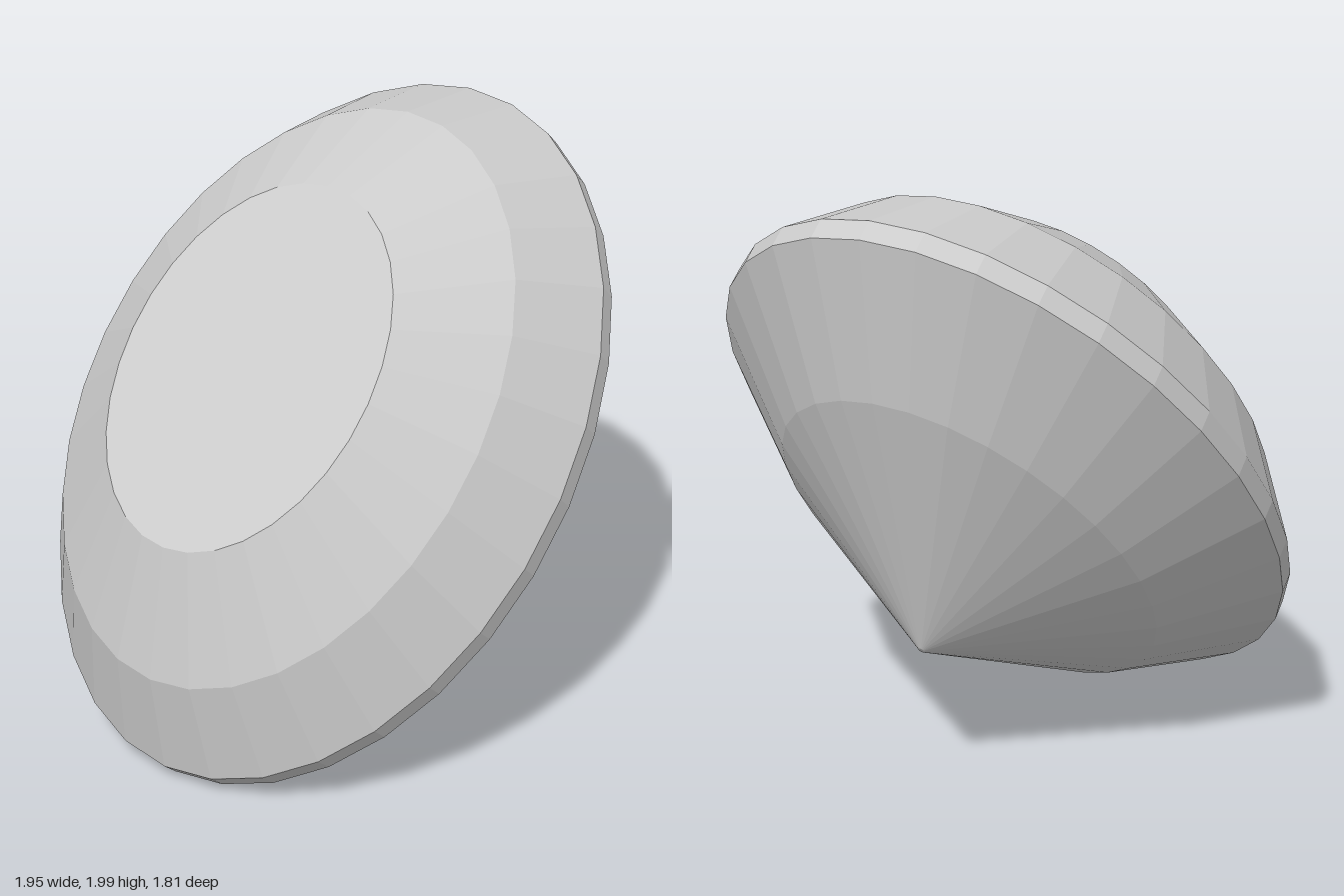
import * as THREE from 'three';

export function createModel() {
  const group = new THREE.Group();
  group.name = 'gemstone';

  // Half-profile [radius, height along the axis], from the point up to the table
  const profile = [
    [0, -0.79],       // centre of the tiny culet
    [0.01, -0.79],    // culet rim
    [0.648, -0.381],  // pavilion break
    [0.975, -0.074],  // girdle, lower edge
    [0.975, 0],       // girdle, upper edge
    [0.795, 0.284],   // crown break
    [0.495, 0.522],   // table rim
    [0, 0.522],       // table centre
  ].map(([r, y]) => new THREE.Vector2(r, y));

  // 32-sided faceted stone, stretched into an oval
  const gem = new THREE.Mesh(
    new THREE.LatheGeometry(profile, 32),
    new THREE.MeshStandardMaterial({ color: 0xcccccc, flatShading: true })
  );
  gem.name = 'ovalGem';
  gem.scale.z = 1.322;

  // Tilt so the table faces forward and up
  gem.rotation.x = 0.85;
  gem.position.y = 1.02;
  group.add(gem);
  return group;
}
